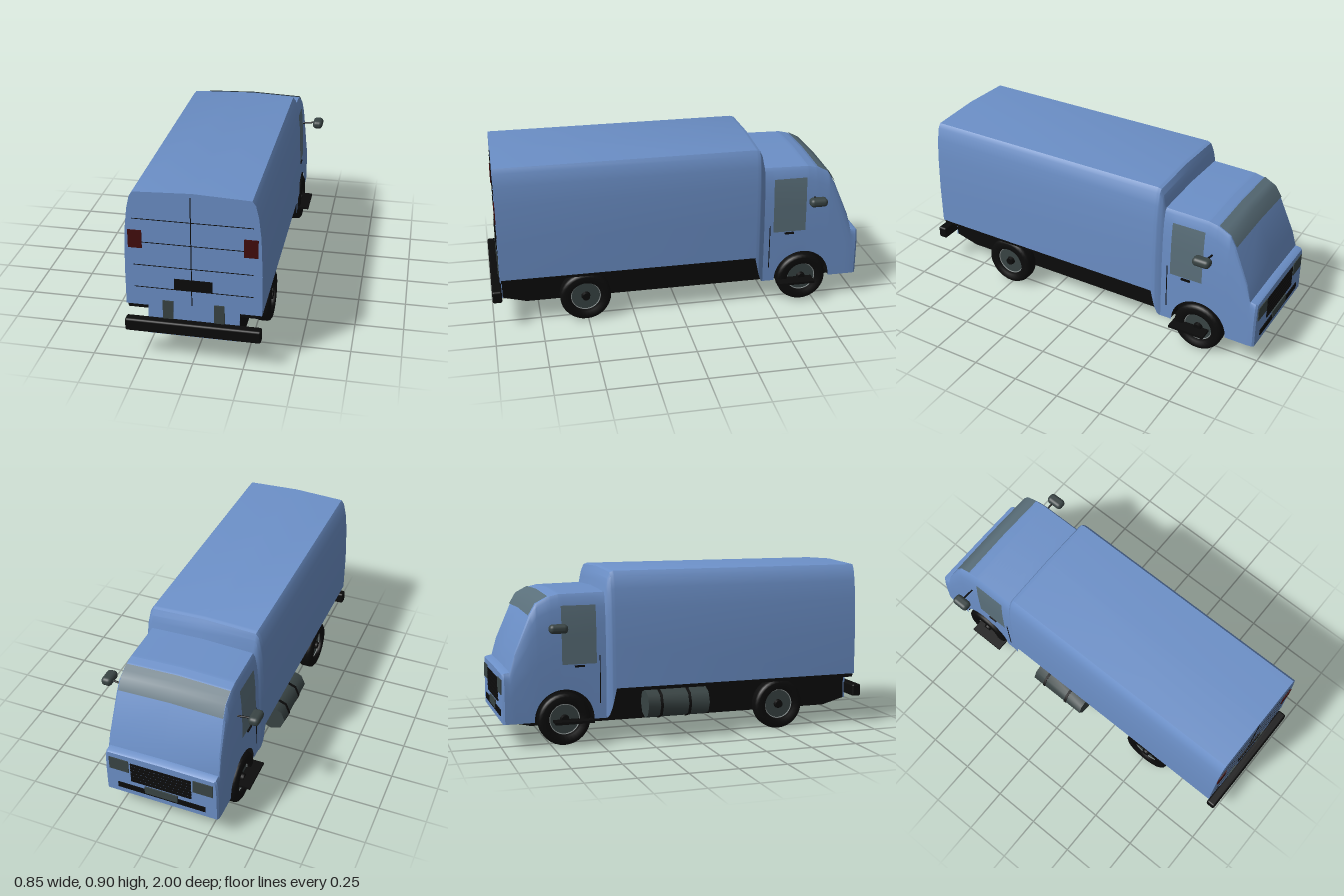
import * as THREE from 'three';
import { toCreasedNormals } from 'three/addons/utils/BufferGeometryUtils.js';
import { RoundedBoxGeometry } from 'three/addons/geometries/RoundedBoxGeometry.js';

const mat = (name, color, side = THREE.FrontSide) => {
  const m = new THREE.MeshStandardMaterial({ color, side });
  m.name = name;
  return m;
};

// Body stations along z: [z, half width, roof height, corner inset]
const stations = [
  [0.955, 0.333, 0.9, 1], [-0.41, 0.333, 0.9, 1], [-0.43, 0.33, 0.893, 1], [-0.445, 0.322, 0.86, 0.9],
  [-0.46, 0.312, 0.792, 0.75], [-0.7, 0.31, 0.787, 0.7], [-0.75, 0.31, 0.775, 0.7], [-0.815, 0.31, 0.74, 0.7],
  [-0.85, 0.31, 0.68, 0.65], [-0.93, 0.31, 0.49, 0.45], [-0.955, 0.31, 0.397, 0.35], [-0.985, 0.308, 0.392, 0.3],
  [-0.995, 0.3, 0.386, 0.3],
];
// Corner profile: [drop below roof, inset as a share of half width]
const corner = [[0.4, 0], [0.2, 0.025], [0.1, 0.06], [0.035, 0.105], [0.012, 0.155]];
const WHEEL_Y = 0.137, FRONT_Z = -0.68, REAR_Z = 0.51;

function station(z) {
  let i = 0;
  while (i < stations.length - 2 && z < stations[i + 1][0]) i++;
  const a = stations[i], b = stations[i + 1], t = (z - a[0]) / (b[0] - a[0]);
  return a.map((v, k) => v + (b[k] - v) * t);
}

// Lower edge of the skin, with the front wheel arch
function hem(z) {
  const d = Math.abs(z - FRONT_Z);
  if (z > -0.41) return 0.285;
  if (z > -0.46) return 0.285 - 0.155 * Math.sin(((-0.41 - z) / 0.05) * Math.PI / 2);
  return d < 0.155 ? Math.max(0.13, WHEEL_Y + Math.sqrt(0.155 ** 2 - d * d)) : 0.13;
}

// One cross-section from the +x hem over the roof to the -x hem
function ring(z) {
  const [, w, h, k] = station(z), b = hem(z), s = (h - 0.13) / 0.77;
  const half = [[w, b], ...corner.map(([drop, inset]) => [w * (1 - inset * k), Math.max(b, h - drop * s)])];
  return [...half, [0, h], ...half.map(([x, y]) => [-x, y]).reverse()].map(([x, y]) => [x, y, z]);
}

// Skin between rows of points, with optional end caps
function loft(rows, caps = false) {
  const n = rows[0].length, index = [];
  for (let r = 0; r < rows.length - 1; r++)
    for (let i = 0; i < n - 1; i++) {
      const a = r * n + i, c = a + n;
      index.push(a, c, a + 1, a + 1, c, c + 1);
    }
  if (caps) {
    const e = (rows.length - 1) * n;
    for (let i = 1; i < n - 1; i++) index.push(0, i, i + 1, e, e + i + 1, e + i);
  }
  const g = new THREE.BufferGeometry();
  g.setAttribute('position', new THREE.Float32BufferAttribute(rows.flat(2), 3));
  g.setIndex(index);
  g.computeVertexNormals();
  return g;
}

// Half width of the skin at height y
function sideX(z, y) {
  const p = ring(z).slice(0, 7);
  for (let i = 0; i < 6; i++)
    if (y <= p[i + 1][1] && p[i + 1][1] > p[i][1])
      return p[i][0] + (p[i + 1][0] - p[i][0]) * Math.max(0, (y - p[i][1]) / (p[i + 1][1] - p[i][1]));
  return 0;
}

export function createModel() {
  const model = new THREE.Group();
  model.name = 'deliveryVan';
  const paint = mat('blue paint', 0x6c90c8);
  const black = mat('black trim', 0x0b0b0b);
  const grey = mat('dark grey metal', 0x394444);
  const glass = mat('grey glass', 0x5a6f7a, THREE.DoubleSide);
  const red = mat('dark red lamp', 0x420c0c);
  const silver = mat('silver rim', 0x8c9494);

  const add = (name, geometry, material, x = 0, y = 0, z = 0, parent = model) => {
    const m = new THREE.Mesh(geometry, material);
    m.name = name;
    m.position.set(x, y, z);
    parent.add(m);
    return m;
  };
  // Box given by its limits on each axis
  const box = (name, material, [x0, x1], [y0, y1], [z0, z1]) =>
    add(name, new THREE.BoxGeometry(x1 - x0, y1 - y0, z1 - z0), material, (x0 + x1) / 2, (y0 + y1) / 2, (z0 + z1) / 2);
  const span = (s, a, b) => (s > 0 ? [a, b] : [-b, -a]);

  // Painted shell
  const zs = stations.map((s) => s[0]);
  for (let i = 0; i <= 24; i++) zs.push(FRONT_Z - 0.1555 * Math.cos((i / 24) * Math.PI));
  for (let i = 1; i < 6; i++) zs.push(-0.41 - i * 0.0085);
  zs.sort((a, b) => b - a);
  add('bodyShell', toCreasedNormals(loft(zs.map(ring), true), 0.55), paint);
  box('rearLowerPanel', paint, [-0.225, 0.225], [0.128, 0.29], [0.945, 0.955]);

  // Chassis, floor and wheel well walls
  const keel = new THREE.Shape([[0.95, 0.13], [0.82, 0.095], [-0.84, 0.095], [-0.98, 0.127], [-0.98, 0.14],
    [-0.85, 0.28], [0.945, 0.28]].map(([z, y]) => new THREE.Vector2(z, y)).reverse());
  const keelGeo = new THREE.ExtrudeGeometry(keel, { depth: 0.45, bevelEnabled: false });
  keelGeo.rotateY(-Math.PI / 2).translate(0.225, 0, 0);
  add('chassis', keelGeo, black);
  box('cargoFloor', black, [-0.325, 0.325], [0.265, 0.286], [-0.43, 0.95]);
  box('wheelWellRoof', black, [-0.3, 0.3], [0.29, 0.3], [-0.84, -0.45]);
  box('cabBackWall', black, [-0.305, 0.305], [0.13, 0.29], [-0.52, -0.47]);
  box('noseFloor', black, [-0.3, 0.3], [0.128, 0.14], [-0.985, -0.84]);
  box('noseInnerWall', black, [-0.3, 0.3], [0.13, 0.29], [-0.86, -0.845]);

  // Windscreen follows the upper cab slope
  add('windscreen', loft([-0.75, -0.782, -0.815, -0.85].map((z) =>
    ring(z).slice(5, 8).map(([x, y, pz]) => [x, y + 0.004, pz - 0.004]))), glass);

  for (const s of [1, -1]) {
    // Side window, door seam and handle
    const rows = [0.42, 0.5, 0.56, 0.6, 0.65, 0.69, 0.72].map((y) =>
      [-0.51, -0.69].map((z) => [s * (sideX(z, y) + 0.004), y, z]));
    add('sideWindow', loft(rows), glass);
    box('doorSeam', black, span(s, 0.307, 0.314), [0.21, 0.46], [-0.494, -0.49]);
    box('doorHandle', black, span(s, 0.305, 0.32), [0.405, 0.414], [-0.625, -0.575]);
    // Mirror and arm
    add('mirror', new RoundedBoxGeometry(0.057, 0.046, 0.095, 3, 0.02), grey, s * 0.397, 0.617, -0.725);
    const arm = add('mirrorArm', new THREE.CylinderGeometry(0.005, 0.005, 0.085, 8), black, s * 0.337, 0.61, -0.735);
    arm.rotation.z = -s * 1.42;
    box('step', black, span(s, 0.3, 0.375), [0.123, 0.136], [-0.74, -0.54]);
    // Rear lamps and brackets, headlamps
    box('tailLamp', red, span(s, 0.245, 0.312), [0.597, 0.69], [0.952, 0.96]);
    box('rearBracket', grey, span(s, 0.1, 0.152), [0.2, 0.32], [0.952, 0.961]);
    box('headlamp', grey, span(s, 0.175, 0.282), [0.28, 0.355], [-1, -0.993]);
  }

  // Rear doors
  for (const y of [0.385, 0.505, 0.628, 0.75]) box('rearDoorLine', black, [-0.29, 0.29], [y - 0.0015, y + 0.0015], [0.953, 0.957]);
  box('rearDoorSeam', black, [-0.01, -0.006], [0.305, 0.88], [0.953, 0.958]);
  box('rearPlate', black, [-0.093, 0.093], [0.39, 0.445], [0.953, 0.961]);
  add('rearBumper', new RoundedBoxGeometry(0.67, 0.066, 0.05, 2, 0.01), black, 0, 0.188, 0.975);

  // Front grille, lower intake and plate
  for (let i = 0; i < 6; i++) {
    const y = 0.225 + i * 0.021;
    box('grilleSlat', black, [-0.165, 0.165], [y, y + 0.016], [-0.999, -0.992]);
  }
  box('lowerIntake', black, [-0.24, 0.24], [0.163, 0.195], [-1, -0.992]);
  box('frontPlate', grey, [-0.09, 0.09], [0.172, 0.215], [-1.002, -0.994]);

  // Wheels
  const tyreGeo = new THREE.LatheGeometry([[0.085, -0.042], [0.118, -0.042], [0.131, -0.034], [0.136, -0.02], [0.136, 0.02],
    [0.131, 0.034], [0.118, 0.042], [0.085, 0.042], [0.08, 0.025], [0.08, -0.025], [0.085, -0.042]]
    .map(([r, y]) => new THREE.Vector2(r, y)), 32);
  for (const s of [1, -1])
    for (const z of [FRONT_Z, REAR_Z]) {
      const wheel = new THREE.Group();
      wheel.name = z < 0 ? 'frontWheel' : 'rearWheel';
      wheel.position.set(s * 0.282, WHEEL_Y, z);
      wheel.rotation.z = -s * Math.PI / 2;
      add('tyre', tyreGeo, black, 0, 0, 0, wheel);
      add('rimDisc', new THREE.CylinderGeometry(0.082, 0.082, 0.04, 28), grey, 0, 0, 0, wheel);
      const lip = add('rimLip', new THREE.TorusGeometry(0.078, 0.003, 6, 32), silver, 0, 0.022, 0, wheel);
      lip.rotation.x = Math.PI / 2;
      add('hub', new THREE.CylinderGeometry(0.02, 0.028, 0.035, 16), black, 0, 0.022, 0, wheel);
      model.add(wheel);
    }

  // Fuel tank on the right, with two straps
  const drum = (name, r, length, material, z) => {
    const g = new THREE.CylinderGeometry(r, r, length, 8).rotateX(Math.PI / 2);
    add(name, toCreasedNormals(g, 0.9), material, -0.31, 0.19, z);
  };
  drum('fuelTank', 0.075, 0.335, grey, -0.085);
  for (const z of [-0.18, -0.025]) drum('tankStrap', 0.079, 0.014, black, z);

  return model;
}
